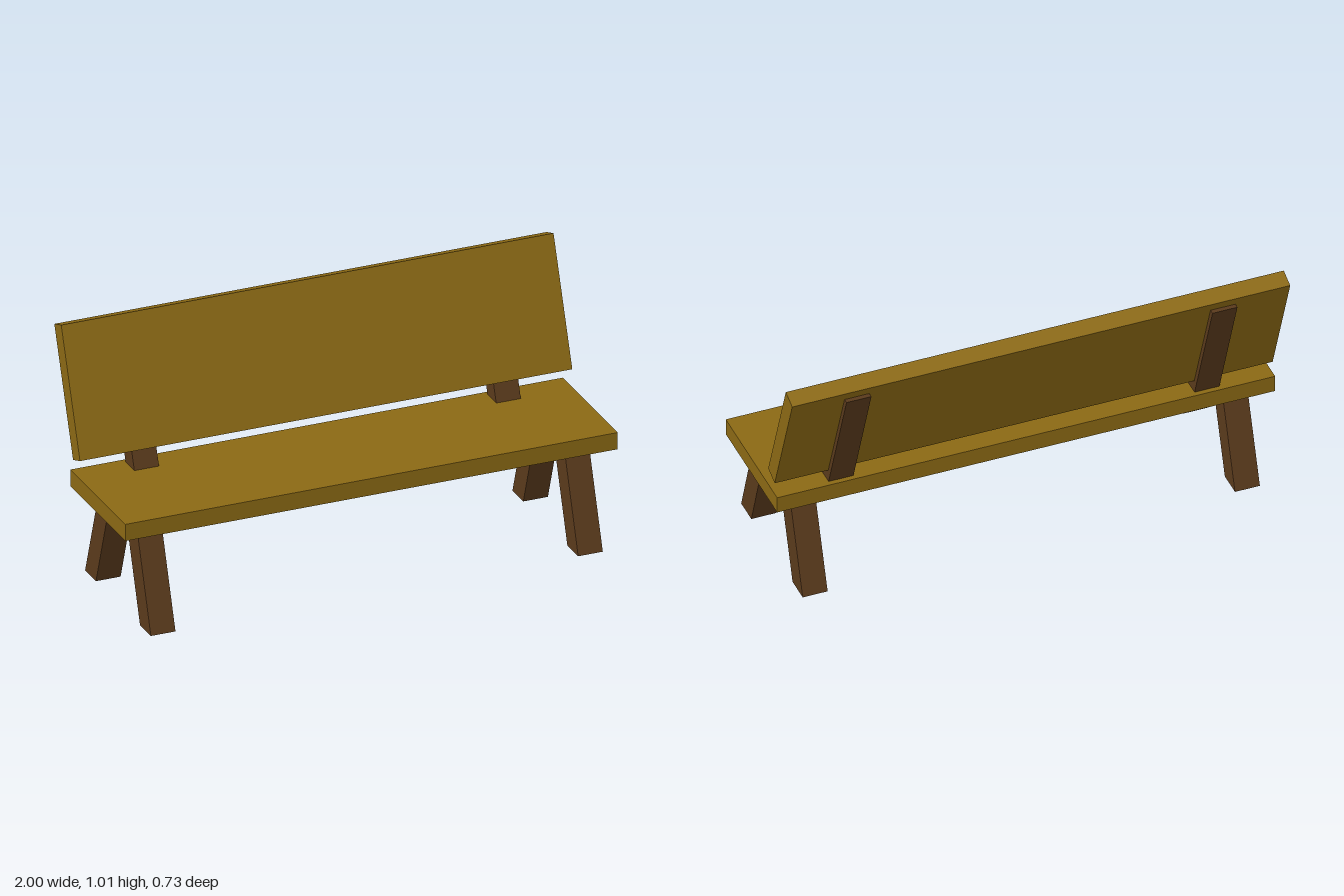
import * as THREE from 'three';

const plankMaterial = new THREE.MeshStandardMaterial({ color: 0x8b6914, flatShading: true });
const postMaterial = new THREE.MeshStandardMaterial({ color: 0x5a3a1c, flatShading: true });

const PLANK_DEPTH = 0.516, PLANK_THICKNESS = 0.069;

// Wide board shared by the seat and the backrest
function makePlank(name) {
  const plank = new THREE.Mesh(new THREE.BoxGeometry(2, PLANK_THICKNESS, PLANK_DEPTH), plankMaterial);
  plank.name = name;
  return plank;
}

// Slanted post with level ends: a box sheared in z from zBottom to zTop
function makePost(name, x, depth, yBottom, yTop, zBottom, zTop) {
  const height = yTop - yBottom;
  const geometry = new THREE.BoxGeometry(0.1, height, depth);
  const p = geometry.attributes.position;
  for (let i = 0; i < p.count; i++) {
    const t = p.getY(i) / height + 0.5;
    p.setXYZ(i, p.getX(i) + x, yBottom + t * height, p.getZ(i) + THREE.MathUtils.lerp(zBottom, zTop, t));
  }
  geometry.computeVertexNormals();
  const post = new THREE.Mesh(geometry, postMaterial);
  post.name = name;
  return post;
}

export function createModel() {
  const bench = new THREE.Group();
  bench.name = 'bench';

  // Level seat
  const seat = makePlank('seat');
  seat.position.set(0, 0.4205, 0.055);
  bench.add(seat);

  // Backrest leaning 20 degrees backwards
  const backrest = makePlank('backrest');
  backrest.position.set(0, 0.76, -0.234);
  backrest.rotation.x = THREE.MathUtils.degToRad(70);
  bench.add(backrest);

  // Splayed legs and backrest supports, mirrored left and right
  for (const [side, s] of [['left', 1], ['right', -1]]) {
    bench.add(
      makePost(side + 'FrontLeg', s * 0.868, 0.102, 0, 0.387, 0.312, 0.181),
      makePost(side + 'BackLeg', s * 0.868, 0.102, 0, 0.387, -0.204, -0.072),
      makePost(side + 'BackSupport', s * 0.735, 0.082, 0.45, 0.955, -0.139, -0.321)
    );
  }
  return bench;
}
